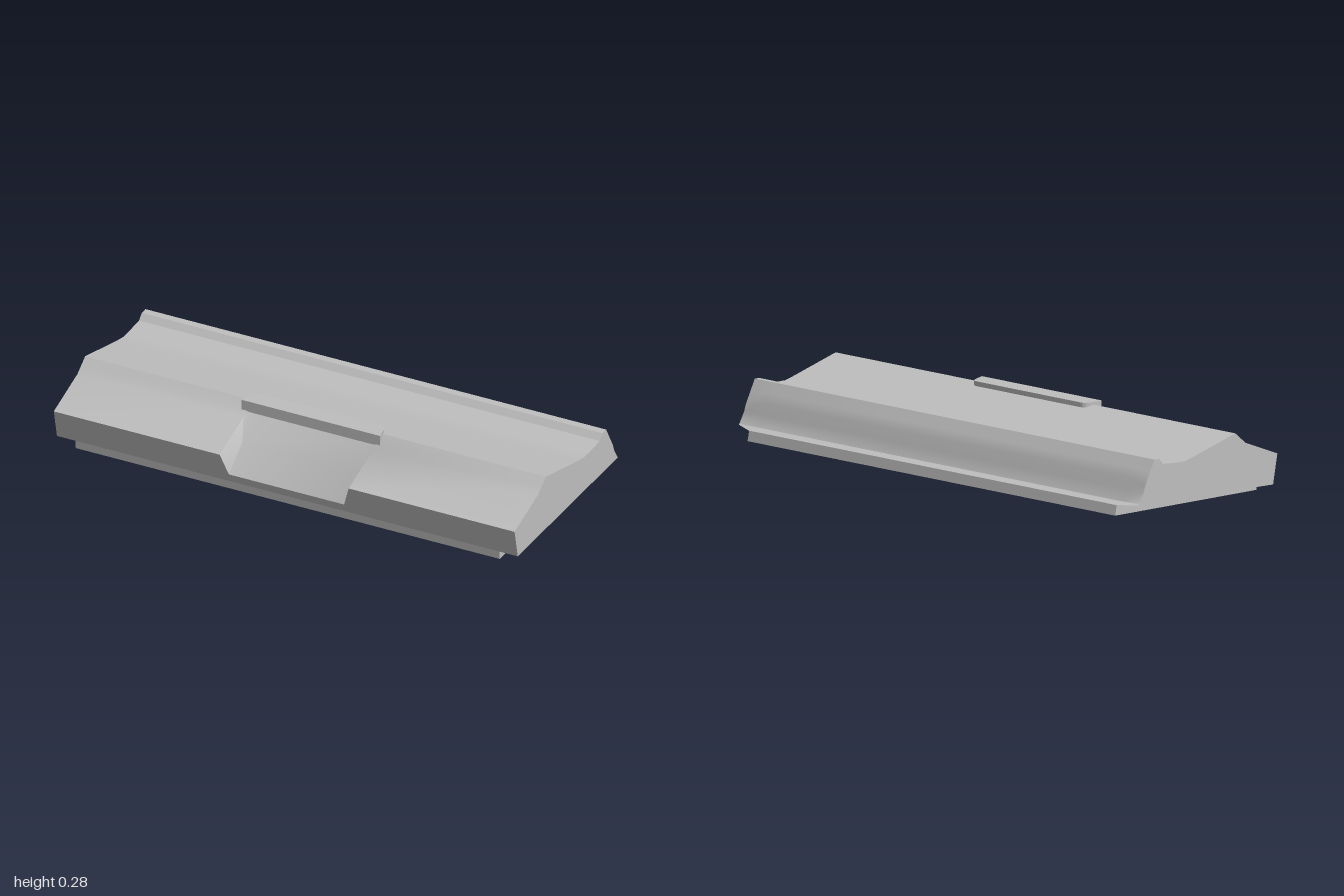
import * as THREE from 'three';
import { toCreasedNormals } from 'three/addons/utils/BufferGeometryUtils.js';

// Skins [z, y] profiles placed at increasing x, and closes both ends.
function loft(stations) {
  const pos = [];
  const put = (x, p) => pos.push(x, p[1], p[0]);
  for (let s = 0; s < stations.length - 1; s++) {
    const [x0, a] = stations[s];
    const [x1, b] = stations[s + 1];
    for (let i = 0; i < a.length; i++) {
      const j = (i + 1) % a.length;
      put(x0, a[i]); put(x1, b[i]); put(x1, b[j]);
      put(x0, a[i]); put(x1, b[j]); put(x0, a[j]);
    }
  }
  const cap = ([x, profile], side) => {
    const pts = profile.map(([z, y]) => new THREE.Vector2(-z, y));
    for (const t of THREE.ShapeUtils.triangulateShape(pts.slice(), [])) {
      const area = THREE.ShapeUtils.area(t.map((k) => pts[k]));
      const order = area * side > 0 ? t : [t[0], t[2], t[1]];
      order.forEach((k) => put(x, profile[k]));
    }
  };
  cap(stations[0], -1);
  cap(stations[stations.length - 1], 1);
  const geometry = new THREE.BufferGeometry();
  geometry.setAttribute('position', new THREE.Float32BufferAttribute(pos, 3));
  return toCreasedNormals(geometry, 0.6);
}

export function createModel() {
  const group = new THREE.Group();
  const grey = new THREE.MeshStandardMaterial({ color: 0xbfbfbf });
  grey.name = 'light grey';
  const add = (name, geometry) => {
    const mesh = new THREE.Mesh(geometry, grey);
    mesh.name = name;
    group.add(mesh);
  };

  // Cross-sections of the body: front slope, crown with valley, rear slope
  const front = [[0.4, 0.033], [0.425, 0.15], [0.24, 0.225], [0.215, 0.245]];
  const pocket = [[0.4, 0.033], [0.407, 0.065], [0.3, 0.155], [0.213, 0.238]];
  const crown = [[0.18, 0.273], [-0.07, 0.225], [-0.115, 0.218], [-0.16, 0.221],
    [-0.24, 0.231], [-0.262, 0.254], [-0.29, 0.257]];
  const rear = [[-0.318, 0.219], [-0.343, 0.185], [-0.352, 0.14], [-0.38, 0.097], [-0.418, 0.09]];
  const rearEnd = [[-0.317, 0.21], [-0.343, 0.165], [-0.352, 0.14], [-0.378, 0.099], [-0.384, 0.095]];

  const end = [...front, ...crown, ...rearEnd];
  const full = [...front, ...crown, ...rear];
  const cut = [...pocket, ...crown, ...rear];

  // Body with a recessed pocket in the front and chamfered rear corners
  add('body', loft([[-1, end], [-0.92, full], [-0.28, full], [-0.25, cut],
    [0.25, cut], [0.28, full], [0.92, full], [1, end]]));

  // Narrower tilted base
  const base = [[0.397, 0], [0.4, 0.034], [-0.416, 0.09], [-0.425, 0.05]];
  add('base', loft([[-0.92, base], [0.92, base]]));

  // Lip over the pocket, with rounded rear corners
  const outline = new THREE.Shape();
  outline.moveTo(-0.3, -0.217);
  outline.lineTo(0.3, -0.217);
  outline.lineTo(0.288, -0.165);
  outline.quadraticCurveTo(0.282, -0.14, 0.258, -0.14);
  outline.lineTo(-0.258, -0.14);
  outline.quadraticCurveTo(-0.282, -0.14, -0.288, -0.165);
  outline.closePath();
  const lip = new THREE.ExtrudeGeometry(outline, { depth: 0.044, bevelEnabled: false, curveSegments: 6 });
  lip.rotateX(-Math.PI / 2).translate(0, 0.24, 0);
  add('pocketLip', toCreasedNormals(lip, 0.6));

  return group;
}
